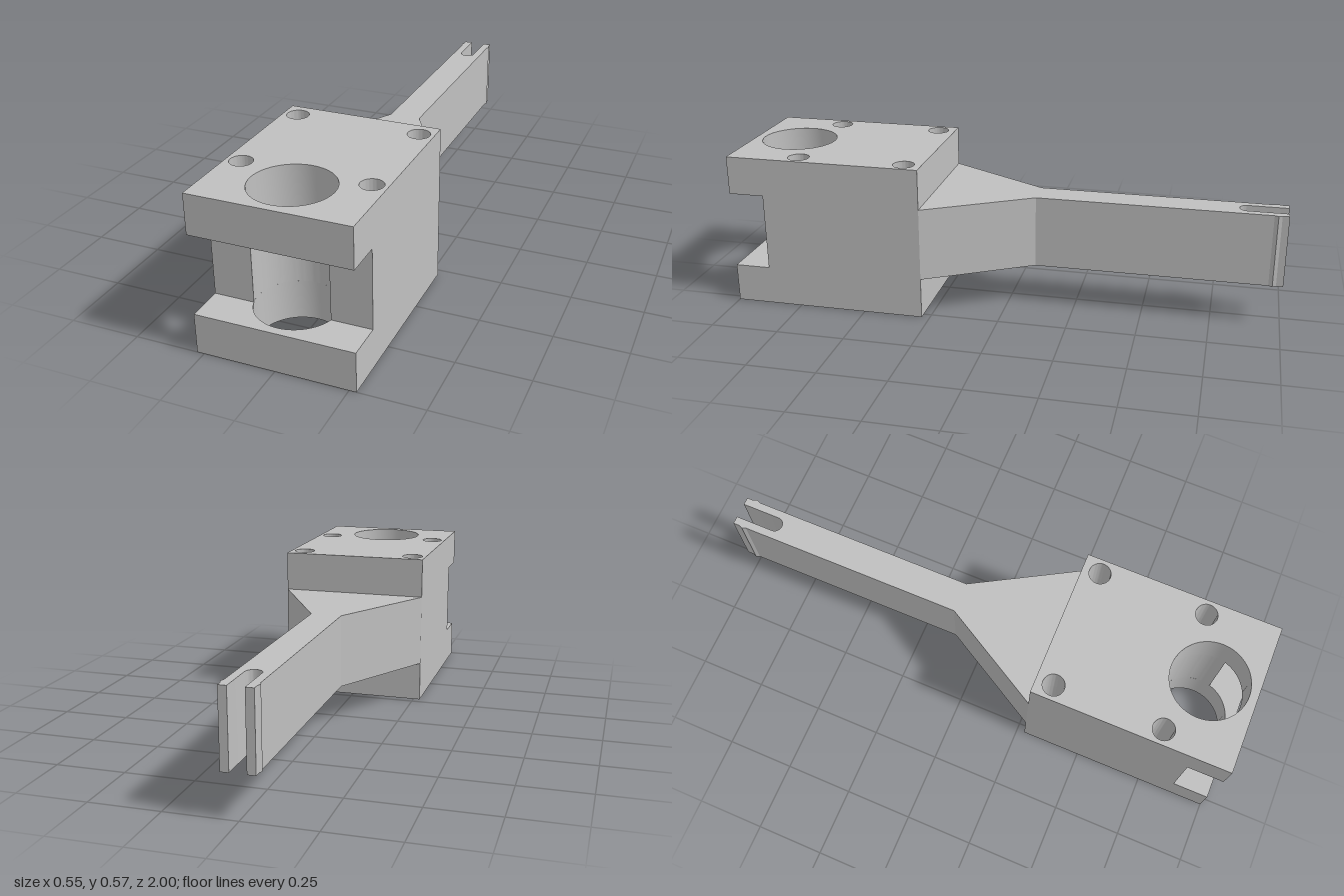
import * as THREE from 'three';
import { toCreasedNormals } from 'three/addons/utils/BufferGeometryUtils.js';

const W = 0.275, BACK = 0.28, FRONT = 1, SLOT = 0.87; // block plan
const BORE_Z = 0.83, BORE_R = 0.14;
const Y0 = 0, Y1 = 0.142, Y2 = 0.425, Y3 = 0.566; // block layers

// Plan outline from [x, z] points (shape y is -z)
const outline = pts => new THREE.Shape(pts.map(([x, z]) => new THREE.Vector2(x, -z)));

const addHole = (shape, x, z, r) =>
  shape.holes.push(new THREE.Path().absarc(x, -z, r, 0, Math.PI * 2, true));

function addBoltHoles(shape) {
  for (const x of [-0.222, 0.222]) for (const z of [0.345, 0.742]) addHole(shape, x, z, 0.039);
  return shape;
}

export function createModel() {
  const group = new THREE.Group();
  const grey = new THREE.MeshStandardMaterial({ color: 0xc0c0c0 });
  grey.name = 'grey';

  // Extrude a plan shape upward between two heights
  const addPart = (name, shape, y0, y1) => {
    const geo = new THREE.ExtrudeGeometry(shape, { depth: y1 - y0, bevelEnabled: false, curveSegments: 32 });
    geo.rotateX(-Math.PI / 2).translate(0, y0, 0);
    const mesh = new THREE.Mesh(toCreasedNormals(geo, 0.35), grey);
    mesh.name = name;
    group.add(mesh);
  };

  // Top and bottom plates with the large bore
  const plate = addBoltHoles(outline([[-W, FRONT], [W, FRONT], [W, BACK], [-W, BACK]]));
  addHole(plate, 0, BORE_Z, BORE_R);
  addPart('bottomPlate', plate, Y0, Y1);
  addPart('topPlate', plate, Y2, Y3);

  // Middle of the block, set back, with the bore opening to the front
  const a = Math.asin((SLOT - BORE_Z) / BORE_R);
  const core = outline([[W, SLOT], [W, BACK], [-W, BACK], [-W, SLOT]]);
  core.absarc(0, -BORE_Z, BORE_R, Math.PI + a, -a, true);
  addPart('blockCore', addBoltHoles(core), Y1, Y2);

  // Tapered arm with a forked, barbed tip
  const side = [[W, BACK], [0.057, -0.1], [0.057, -0.948], [0.063, -0.962], [0.057, -0.975], [0.057, -1]];
  const slotR = 0.028;
  const arm = outline([...side, [slotR, -1]]);
  arm.absarc(0, 0.855, slotR, 0, -Math.PI, true);
  for (const [x, z] of [[-slotR, -1], ...side.map(([x, z]) => [-x, z]).reverse()]) arm.lineTo(x, -z);
  addPart('arm', arm, 0.15, 0.418);

  return group;
}
